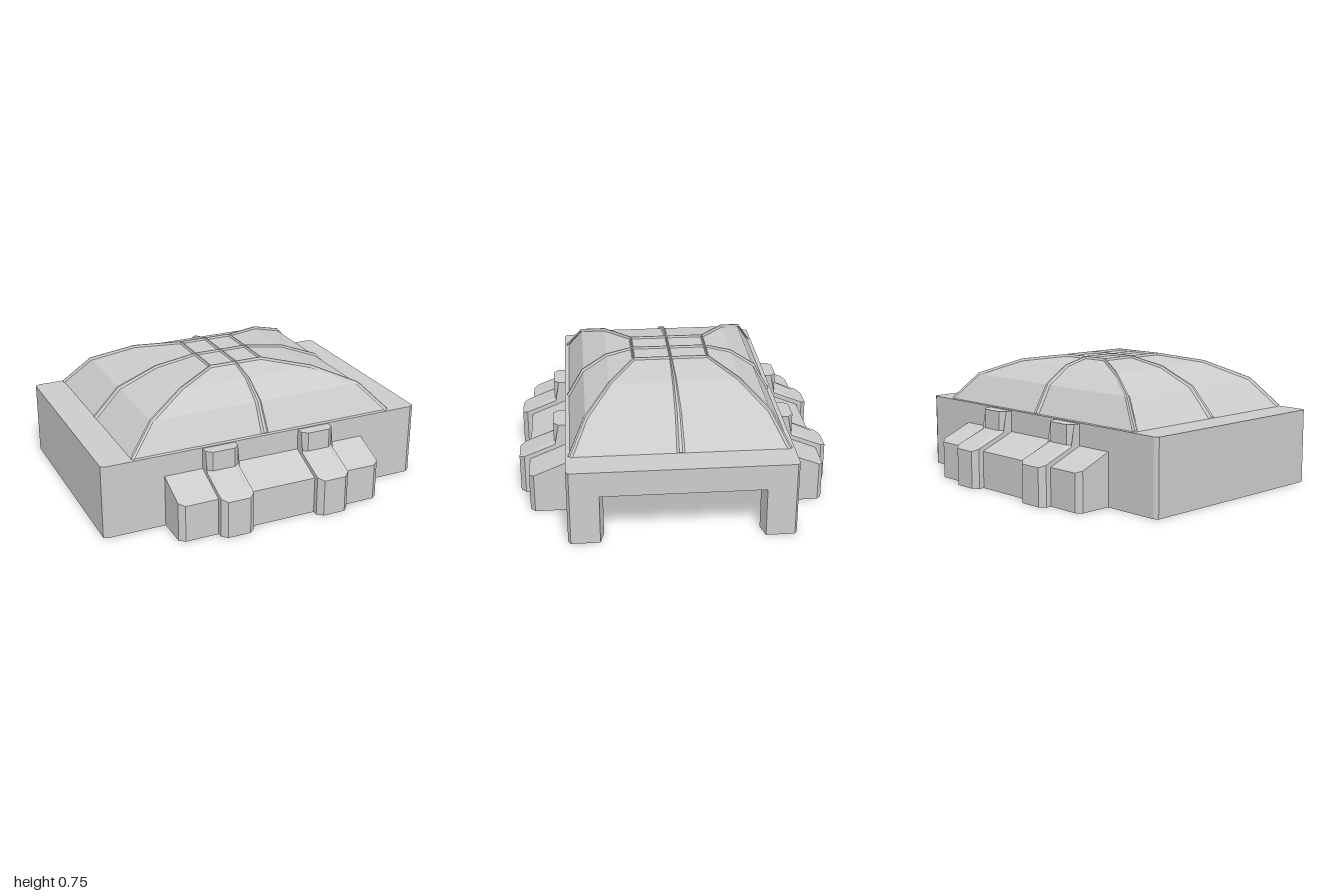
import * as THREE from 'three';

const mat = new THREE.MeshStandardMaterial({ color: 0xcccccc, flatShading: true, side: THREE.DoubleSide });
const V = (x, y, z) => new THREE.Vector3(x, y, z);
const W = 1, D = 0.64, H = 0.44, CX = 0.025, CZ = 0.015; // half width, half depth, wall height, corner cuts

// Flat-shaded surface through rows of points; outward = row direction x column direction
function surface(rows) {
  const pos = [];
  const tri = (a, b, c) => {
    const area = b.clone().sub(a).cross(c.clone().sub(a)).length();
    if (area > 1e-9) for (const p of [a, b, c]) pos.push(p.x, p.y, p.z);
  };
  for (let i = 0; i < rows.length - 1; i++)
    for (let j = 0; j < rows[i].length - 1; j++) {
      const a = rows[i][j], b = rows[i + 1][j], c = rows[i + 1][j + 1], d = rows[i][j + 1];
      tri(a, b, c);
      tri(a, c, d);
    }
  const g = new THREE.BufferGeometry();
  g.setAttribute('position', new THREE.Float32BufferAttribute(pos, 3));
  g.computeVertexNormals();
  return g;
}

const polygon = pts => new THREE.Shape(pts.map(p => new THREE.Vector2(p[0], p[1])));

function add(parent, name, geometry) {
  const m = new THREE.Mesh(geometry, mat);
  m.name = name;
  parent.add(m);
  return m;
}

// Raised rib along a path, with a half width for each point
function rib(path, widths, h = 0.012) {
  return surface(path.map((p, i) => {
    const t = path[Math.min(i + 1, path.length - 1)].clone().sub(path[Math.max(i - 1, 0)]).normalize();
    const s = V(0, 1, 0).cross(t).normalize();
    const n = t.clone().cross(s);
    const at = (u, k) => p.clone().addScaledVector(s, u * widths[i]).addScaledVector(n, k);
    return [at(-1, -0.003), at(-0.35, h), at(0.35, h), at(1, -0.003)];
  }));
}

// Side annex with two stepped buttresses, swept along x
function annex() {
  const row = (x, pts) => pts.map(([z, y]) => V(x, y, z));
  const body = [[0.855, 0], [0.855, 0.22], [0.71, 0.28], [0.71, 0.28], [D, 0.31]];
  const bodyEnd = [[0.828, 0], [0.828, 0.232], [0.71, 0.28], [0.71, 0.28], [D, 0.31]];
  const pier = [[0.917, 0], [0.917, 0.222], [0.71, 0.32], [0.71, 0.435], [D, 0.435]];
  const pierEdge = [[0.887, 0], [0.887, 0.236], [0.68, 0.32], [0.68, 0.435], [D, 0.435]];
  const foot = Array(5).fill([D, 0]);
  const rows = [row(-0.633, foot), row(-0.633, bodyEnd), row(-0.6, body)];
  for (const c of [-0.302, 0.302])
    rows.push(row(c - 0.1, body), row(c - 0.1, pierEdge), row(c - 0.068, pier),
      row(c + 0.068, pier), row(c + 0.1, pierEdge), row(c + 0.1, body));
  rows.push(row(0.6, body), row(0.633, bodyEnd), row(0.633, foot));
  return surface(rows);
}

export function createModel() {
  const model = new THREE.Group();
  model.name = 'domedHall';

  // Long walls, open behind each annex, built once and turned round for the back
  const x = W - CX;
  const wall = polygon([
    [-x, 0], [-0.633, 0], [-0.633, 0.31], [-0.402, 0.31], [-0.402, 0.435], [-0.202, 0.435], [-0.202, 0.31],
    [0.202, 0.31], [0.202, 0.435], [0.402, 0.435], [0.402, 0.31], [0.633, 0.31], [0.633, 0], [x, 0], [x, H], [-x, H]]);
  for (const side of ['front', 'back']) {
    const half = new THREE.Group();
    half.name = side + 'Side';
    if (side === 'back') half.rotation.y = Math.PI;
    add(half, side + 'Wall', new THREE.ShapeGeometry(wall).translate(0, 0, D));
    add(half, side + 'Annex', annex());
    // Cut vertical corners
    add(half, 'cornerLeft', surface([0, 1].map(k => [0, H].map(y => V(k ? W : x, y, k ? D - CZ : D)))));
    add(half, 'cornerRight', surface([0, 1].map(k => [0, H].map(y => V(k ? -x : -W, y, k ? D : D - CZ)))));
    model.add(half);
  }

  // End walls: one with a wide doorway, one closed
  const z = D - CZ;
  const doorWall = polygon([[-z, 0], [-0.462, 0], [-0.462, 0.29], [0.462, 0.29], [0.462, 0], [z, 0], [z, H], [-z, H]]);
  add(model, 'doorWall', new THREE.ShapeGeometry(doorWall).rotateY(Math.PI / 2).translate(W, 0, 0));
  const blank = polygon([[-z, 0], [z, 0], [z, H], [-z, H]]);
  add(model, 'closedWall', new THREE.ShapeGeometry(blank).rotateY(-Math.PI / 2).translate(-W, 0, 0));

  // Splayed doorway reveal
  const reveal = (px, pz, py) => [V(px, 0, pz), V(px, py, pz), V(px, py, -pz), V(px, 0, -pz)];
  add(model, 'doorReveal', surface([reveal(W, 0.462, 0.29), reveal(0.91, 0.44, 0.28)]));

  // Flat roof around the dome
  const roof = polygon([[-x, -D], [x, -D], [W, -z], [W, z], [x, D], [-x, D], [-W, z], [-W, -z]]);
  roof.holes.push(polygon([[-0.815, -0.615], [-0.815, 0.615], [0.815, 0.615], [0.815, -0.615]]));
  add(model, 'roof', new THREE.ShapeGeometry(roof).rotateX(-Math.PI / 2).translate(0, H, 0));

  // Four-sided dome: half width, height and half depth at each level
  const levels = [[0.815, H, 0.615], [0.66, 0.602, 0.522], [0.42, 0.697, 0.377], [0.165, 0.735, 0.222]];
  const corners = [[-1, 1], [1, 1], [1, -1], [-1, -1], [-1, 1]];
  add(model, 'dome', surface(corners.map(([sx, sz]) =>
    [...levels, [0, 0.735, 0]].map(([a, y, b]) => V(sx * a, y, sz * b)))));

  // Ribs: diagonals, two centre lines and the border of the flat top
  const ribs = new THREE.Group();
  ribs.name = 'domeRibs';
  const spine = f => [...levels.map(l => f(l, 1)), ...[...levels].reverse().map(l => f(l, -1))];
  const taper = [0.026, 0.021, 0.015, 0.009, 0.009, 0.015, 0.021, 0.026];
  add(ribs, 'longRib', rib(spine(([a, y], s) => V(s * a, y, 0)), taper));
  add(ribs, 'crossRib', rib(spine(([, y, b], s) => V(0, y, s * b)), taper));
  const [ta, ty, tb] = levels[3];
  for (let i = 0; i < 4; i++) {
    const [sx, sz] = corners[i], [ex, ez] = corners[i + 1];
    add(ribs, 'diagonalRib', rib(levels.map(([a, y, b]) => V(sx * a, y, sz * b)), [0.016, 0.014, 0.011, 0.009]));
    add(ribs, 'topBorder', rib([V(sx * ta, ty, sz * tb), V(ex * ta, ty, ez * tb)], [0.009, 0.009]));
  }
  model.add(ribs);
  return model;
}
